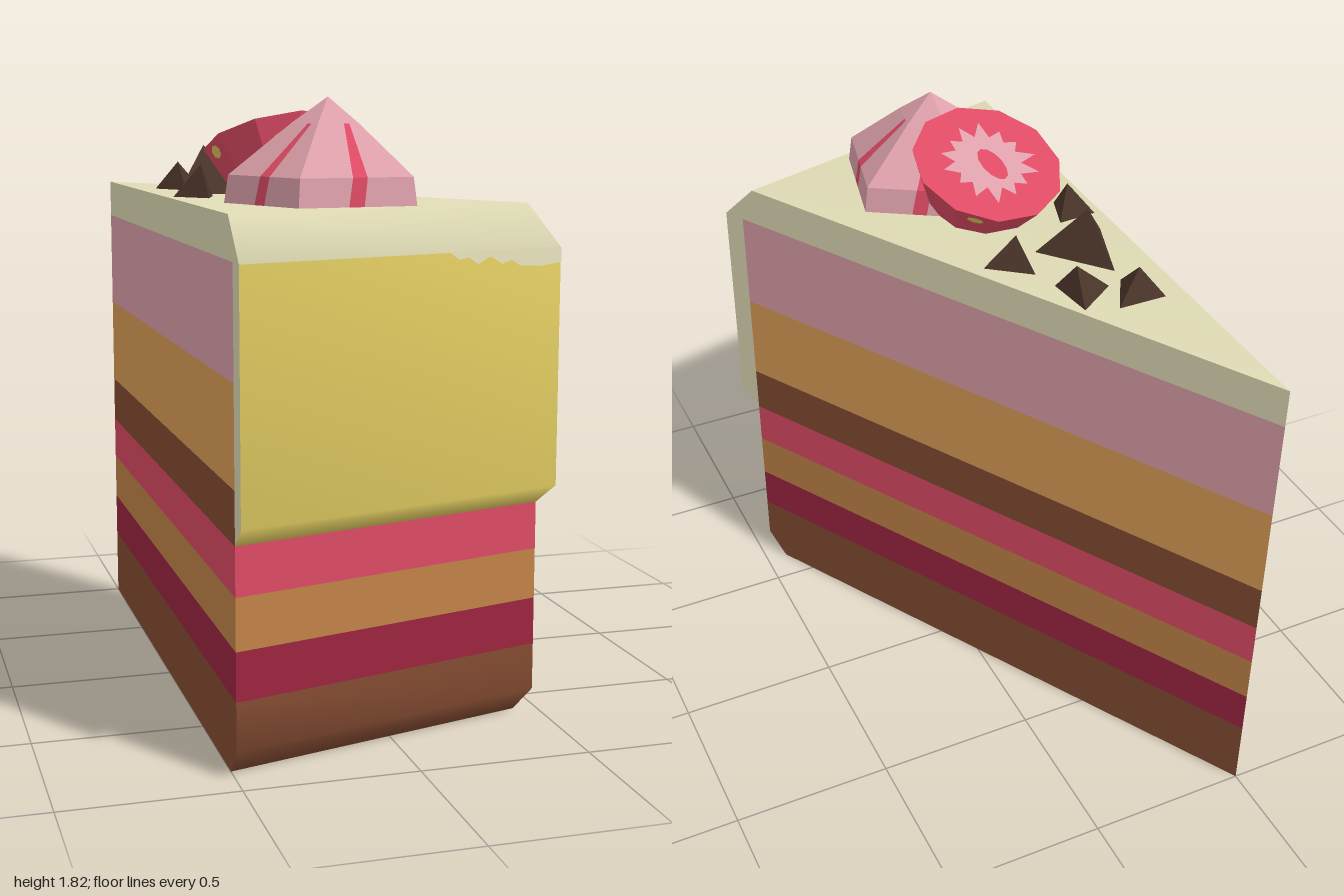
import * as THREE from 'three';

const mat = (name, color) => Object.assign(new THREE.MeshStandardMaterial({ color }), { name });

// A point on the wedge: d = z of the cut on the left side, s = 0 (left cut) to 1 (right cut)
function wedgePoint(d, y, s) {
  const t = s * (d + 1) / 2;
  return [-0.5 + t, y, d - 0.27 * t];
}

function fromTriangles(positions) {
  const g = new THREE.BufferGeometry();
  g.setAttribute('position', new THREE.Float32BufferAttribute(positions, 3));
  g.computeVertexNormals();
  return g;
}

function flat(geometry) {
  const g = geometry.toNonIndexed();
  g.computeVertexNormals();
  return g;
}

// Smooth skin swept along [d, y] rows, one material per band
function skin(rows, materials) {
  const g = new THREE.BufferGeometry();
  const pos = rows.flatMap(([d, y]) => [...wedgePoint(d, y, 0), ...wedgePoint(d, y, 1)]);
  const index = [];
  for (let i = 0; i < rows.length - 1; i++) {
    const a = 2 * i;
    g.addGroup(index.length, 6, i);
    index.push(a, a + 2, a + 3, a, a + 3, a + 1);
  }
  g.setIndex(index);
  g.setAttribute('position', new THREE.Float32BufferAttribute(pos, 3));
  g.computeVertexNormals();
  return new THREE.Mesh(g, materials);
}

// Flat outline in [d, y] laid on the left (0) or right (1) cut
function cutFace(outline, side, material) {
  const g = new THREE.ShapeGeometry(new THREE.Shape(outline.map(p => new THREE.Vector2(...p))));
  const p = g.attributes.position;
  for (let i = 0; i < p.count; i++) p.setXYZ(i, ...wedgePoint(p.getX(i), p.getY(i), side));
  if (side) g.setIndex([...g.index.array].reverse());
  g.computeVertexNormals();
  return new THREE.Mesh(g, material);
}

export function createModel() {
  const sponge = mat('chocolate sponge', 0x854c32);
  const jam = mat('dark red jam', 0x9c2540);
  const caramel = mat('caramel', 0xc28348);
  const red = mat('strawberry red', 0xdd4b64);
  const orange = mat('light sponge', 0xde9e57);
  const pink = mat('pink cream', 0xdda0aa);
  const cream = mat('pale frosting', 0xdfdbb5);
  const yellow = mat('yellow frosting', 0xdec960);
  const dark = mat('dark chocolate', 0x4a3429);

  const model = new THREE.Group();
  const add = (mesh, name, parent = model) => {
    mesh.name = name;
    parent.add(mesh);
    return mesh;
  };

  // Frosting over the top and front, and the lower front with the underside
  add(skin([[-1, 1.52], [0.88, 1.52], [1, 1.4], [1, 0.71], [0.93, 0.65]],
    [cream, cream, yellow, yellow]), 'frosting');
  add(skin([[0.93, 0.65], [0.93, 0.51], [0.93, 0.36], [0.93, 0.22], [0.93, 0.08], [0.86, 0], [-1, 0]],
    [red, caramel, jam, sponge, sponge, sponge]), 'lowerFront');

  // Layers on both cuts
  const layers = [['jamLayer', 0.22, 0.36, jam], ['caramelLayer', 0.36, 0.51, caramel],
    ['strawberryLayer', 0.51, 0.65, red], ['chocolateLayer', 0.65, 0.8, sponge],
    ['lightSpongeLayer', 0.8, 1.085, orange], ['pinkCreamLayer', 1.085, 1.4, pink]];
  for (const side of [0, 1]) {
    add(cutFace([[-1, 0], [0.86, 0], [0.93, 0.08], [0.93, 0.22], [-1, 0.22]], side, sponge), 'baseLayer');
    for (const [name, y0, y1, m] of layers)
      add(cutFace([[-1, y0], [0.93, y0], [0.93, y1], [-1, y1]], side, m), name);
    add(cutFace([[-1, 1.4], [0.93, 1.4], [0.93, 0.65], [1, 0.71], [1, 1.4], [0.88, 1.52], [-1, 1.52]],
      side, cream), 'frostingEdge');
  }

  // Pale frosting running over the front edge
  const drip = new THREE.Shape([[0.63, 1.4], [0.66, 1.38], [0.69, 1.385], [0.72, 1.365], [0.76, 1.385],
    [0.8, 1.362], [0.83, 1.372], [0.86, 1.355], [0.93, 1.35], [1, 1.358], [1, 1.4]]
    .map(p => new THREE.Vector2(...p)));
  const dripGeo = new THREE.ShapeGeometry(drip);
  const dp = dripGeo.attributes.position;
  for (let i = 0; i < dp.count; i++) {
    dp.setXYZ(i, ...wedgePoint(1.002, dp.getY(i), dp.getX(i)));
    dripGeo.attributes.normal.setXYZ(i, 0.255, 0.17, 0.95);
  }
  add(new THREE.Mesh(dripGeo, cream), 'frostingDrips');

  // Five-sided cream swirl with a red streak up each side
  const rings = [[1.5, 0.3, 0.52], [1.6, 0.285, 0.47], [1.745, 0.105, 0.3], [1.82, 0, 0.3]];
  const swirlPoint = (k, a, [y, r]) => {
    const at = j => (49.6 + 72 * j) * Math.PI / 180;
    const mix = f => THREE.MathUtils.lerp(f(at(k)), f(at(k + 1)), a);
    return [-0.11 + r * mix(Math.cos), y, 0.465 + r * mix(Math.sin)];
  };
  const swirl = [], streaks = [];
  for (let k = 0; k < 5; k++)
    for (let i = 0; i < 3; i++) {
      const lo = rings[i], hi = rings[i + 1];
      const cols = ring => [0, ring[2] - 0.06, ring[2] + 0.07, 1];
      for (let c = 0; c < 3; c++) {
        const [b0, b1] = [c, c + 1].map(j => swirlPoint(k, cols(lo)[j], lo));
        const [t0, t1] = [c, c + 1].map(j => swirlPoint(k, cols(hi)[j], hi));
        const list = c === 1 && i < 2 ? streaks : swirl;
        list.push(...b1, ...b0, ...t0);
        if (i < 2) list.push(...b1, ...t0, ...t1);
      }
    }
  add(new THREE.Mesh(fromTriangles(swirl), pink), 'creamSwirl');
  add(new THREE.Mesh(fromTriangles(streaks), red), 'swirlStreaks');

  // Half strawberry, cut side up and tipped back
  const berry = add(new THREE.Group(), 'strawberry');
  berry.position.set(-0.175, 1.695, 0.185);
  berry.rotation.set(-0.37, 0, 0.08);
  const profile = [[0, -0.3], [0.1, -0.23], [0.185, -0.11], [0.235, 0], [0, 0]];
  add(new THREE.Mesh(flat(new THREE.LatheGeometry(profile.map(p => new THREE.Vector2(...p)), 11)), red),
    'strawberryBody', berry);

  // Pale starburst around the red core
  const star = new THREE.Shape();
  for (let i = 0; i < 28; i++) {
    const a = i * Math.PI / 14, r = i % 2 ? 0.105 : 0.15 + 0.015 * Math.sin(i * 2.3);
    star[i ? 'lineTo' : 'moveTo'](r * Math.cos(a), r * Math.sin(a));
  }
  star.holes.push(new THREE.Path().absellipse(-0.01, 0.01, 0.036, 0.066, 0, Math.PI * 2, true, 0.2));
  const starMesh = add(new THREE.Mesh(new THREE.ShapeGeometry(star, 6), pink), 'strawberryFlesh', berry);
  starMesh.rotation.x = -Math.PI / 2;
  starMesh.position.y = 0.004;

  // Seeds on alternate facets
  for (let i = 0; i < 11; i += 2) {
    const a = (i + 0.5) * Math.PI * 2 / 11, f = 0.3 + 0.3 * (i % 4 ? 1 : 0);
    const r = (0.235 - 0.05 * f) * Math.cos(Math.PI / 11) + 0.003;
    const seed = new THREE.Mesh(new THREE.CircleGeometry(0.026, 7), yellow);
    seed.position.set(r * Math.sin(a), -0.11 * f, r * Math.cos(a));
    seed.rotation.set(0.43, a, 0, 'YXZ');
    seed.scale.y = 0.8;
    add(seed, 'strawberrySeed', berry);
  }

  // Chocolate chips: three base corners [x, z], then the tip [x, y, z]
  const chips = [
    [[-0.44, -0.46], [-0.28, -0.46], [-0.36, -0.32], [-0.37, 1.61, -0.41]],
    [[-0.19, -0.43], [-0.17, -0.27], [-0.32, -0.34], [-0.21, 1.61, -0.33]],
    [[-0.37, -0.28], [-0.2, -0.08], [-0.45, -0.04], [-0.34, 1.67, -0.15]],
    [[-0.15, -0.2], [-0.02, -0.1], [-0.17, -0.045], [-0.12, 1.62, -0.12]],
    [[-0.48, 0.045], [-0.35, 0.035], [-0.39, 0.16], [-0.4, 1.62, 0.09]]];
  for (const [a, b, c, tip] of chips) {
    const tri = [[a, b], [b, c], [c, a]].flatMap(([p, q]) => [q[0], 1.515, q[1], p[0], 1.515, p[1], ...tip]);
    add(new THREE.Mesh(fromTriangles(tri), dark), 'chocolateChip');
  }
  return model;
}
